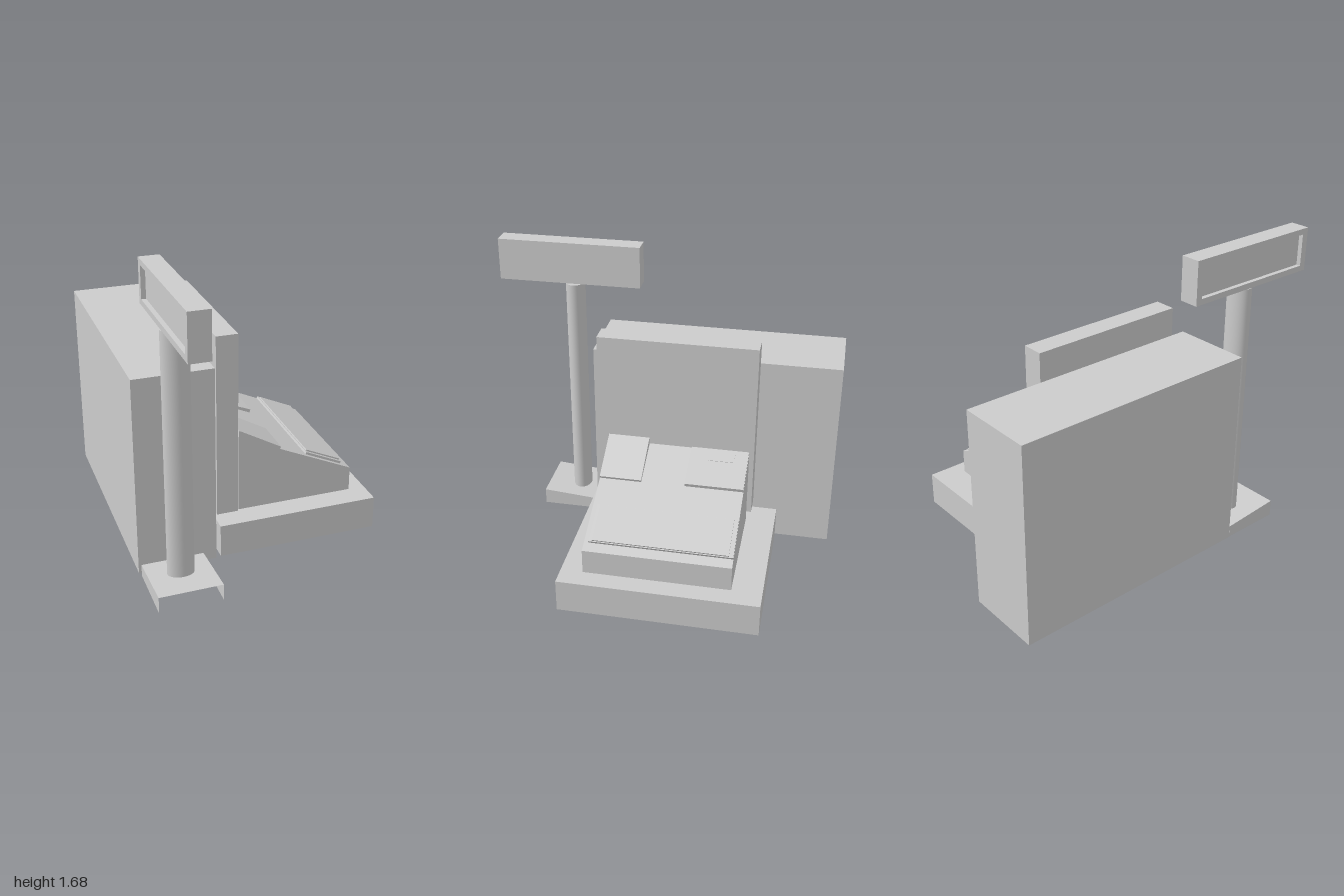
import * as THREE from 'three';

const material = new THREE.MeshStandardMaterial({ color: 0xcccccc, flatShading: true });
const smooth = new THREE.MeshStandardMaterial({ color: 0xcccccc });
const thin = new THREE.MeshStandardMaterial({ color: 0xcccccc, flatShading: true, side: THREE.DoubleSide });

function add(parent, name, geometry, mat = material) {
  const mesh = new THREE.Mesh(geometry, mat);
  mesh.name = name;
  parent.add(mesh);
  return mesh;
}

// Box given by its limits on each axis
function box(parent, name, [x0, x1], [y0, y1], [z0, z1], mat) {
  const g = new THREE.BoxGeometry(x1 - x0, y1 - y0, z1 - z0);
  g.translate((x0 + x1) / 2, (y0 + y1) / 2, (z0 + z1) / 2);
  return add(parent, name, g, mat);
}

// Side profile in x and y, extruded between two z limits
function prism(parent, name, points, [z0, z1]) {
  const shape = new THREE.Shape(points.map(([x, y]) => new THREE.Vector2(x, y)));
  const g = new THREE.ExtrudeGeometry(shape, { depth: z1 - z0, bevelEnabled: false });
  g.translate(0, 0, z0);
  return add(parent, name, g);
}

// Height of the sloping console top
const slope = x => 0.35 + (0.585 - x) * 0.455;

// Slab lying on the console slope, between heights h0 and h1 along its normal
function slab(parent, name, x0, x1, h0, h1, zRange) {
  const n = new THREE.Vector2(0.455, 1).normalize();
  const at = (x, h) => [x + n.x * h, slope(x) + n.y * h];
  return prism(parent, name, [at(x0, h0), at(x1, h0), at(x1, h1), at(x0, h1)], zRange);
}

function createConsole() {
  const group = new THREE.Group();
  group.name = 'console';
  prism(group, 'consoleBody',
    [[-0.085, 0.21], [0.585, 0.21], [0.585, 0.35], [-0.085, slope(-0.085)]], [-0.525, 0.28]);
  // Raised cover at the front end
  prism(group, 'raisedCover',
    [[-0.085, 0.64], [0.155, 0.54], [0.162, 0.558], [-0.08, 0.695]], [0.045, 0.28]);
  // Lid at the back end, lifted at its lower edge
  prism(group, 'lid',
    [[-0.084, 0.63], [0.152, 0.54], [0.16, 0.565], [-0.08, 0.663]], [-0.524, -0.2]);
  prism(group, 'lidPlate',
    [[-0.058, 0.648], [-0.002, 0.625], [-0.001, 0.633], [-0.057, 0.656]], [-0.45, -0.305]);
  // Keyboard: base with a slightly smaller top
  slab(group, 'keyboardBase', 0.32, 0.535, -0.005, 0.013, [-0.524, 0.255]);
  slab(group, 'keyboardTop', 0.325, 0.53, 0.01, 0.021, [-0.5, 0.237]);
  return group;
}

function createPoleDisplay() {
  const group = new THREE.Group();
  group.name = 'poleDisplay';

  // Foot: sloping plate on three walls, open in front and below
  const foot = new THREE.Group();
  foot.name = 'foot';
  group.add(foot);
  const [x0, x1, z0, z1, low, high] = [-0.678, -0.334, 0.42, 0.765, 0.068, 0.095];
  const plate = new THREE.PlaneGeometry(x1 - x0, Math.hypot(z1 - z0, high - low));
  plate.rotateX(-Math.PI / 2 + Math.atan2(high - low, z1 - z0) * -1);
  plate.translate((x0 + x1) / 2, (low + high) / 2, (z0 + z1) / 2);
  // Set the plate's height by its depth
  const pos = plate.attributes.position;
  for (let i = 0; i < pos.count; i++) {
    const front = pos.getZ(i) > (z0 + z1) / 2;
    pos.setY(i, front ? high : low);
    pos.setZ(i, front ? z1 : z0);
  }
  plate.computeVertexNormals();
  add(foot, 'footPlate', plate, thin);
  for (const x of [x0, x1]) {
    const side = new THREE.ShapeGeometry(new THREE.Shape(
      [[z0, 0], [z1, 0], [z1, high], [z0, low]].map(([z, y]) => new THREE.Vector2(-z, y))));
    side.rotateY(Math.PI / 2);
    side.translate(x, 0, 0);
    add(foot, 'footSide', side, thin);
  }
  const back = new THREE.PlaneGeometry(x1 - x0, low);
  back.translate((x0 + x1) / 2, low / 2, z0);
  add(foot, 'footBack', back, thin);

  // Oval pole
  const pole = new THREE.CylinderGeometry(1, 1, 1.36, 40);
  pole.scale(0.073, 1, 0.055);
  pole.translate(-0.503, 0.76, 0.563);
  add(group, 'pole', pole, smooth);

  // Display head with a framed screen facing -x
  const head = new THREE.Group();
  head.name = 'displayHead';
  group.add(head);
  box(head, 'displayBody', [-0.545, -0.46], [1.44, 1.68], [0.175, 1]);
  const frame = new THREE.Shape();
  const rect = (path, w, h) => path.moveTo(-w, -h).lineTo(w, -h).lineTo(w, h).lineTo(-w, h).closePath();
  rect(frame, 0.4125, 0.12);
  const hole = new THREE.Path();
  rect(hole, 0.375, 0.088);
  frame.holes.push(hole);
  const g = new THREE.ExtrudeGeometry(frame, { depth: 0.025, bevelEnabled: false });
  g.rotateY(-Math.PI / 2);
  g.translate(-0.545, 1.56, 0.5875);
  add(head, 'displayFrame', g);
  return group;
}

export function createModel() {
  const model = new THREE.Group();
  model.name = 'cashRegister';
  box(model, 'cabinet', [-0.69, -0.255], [0.01, 1.135], [-1, 0.405]);
  box(model, 'cashDrawer', [-0.23, 0.685], [0.015, 0.203], [-0.69, 0.405]);
  box(model, 'uprightPanel', [-0.23, -0.11], [0.245, 1.28], [-0.55, 0.347]);
  model.add(createConsole(), createPoleDisplay());
  return model;
}
